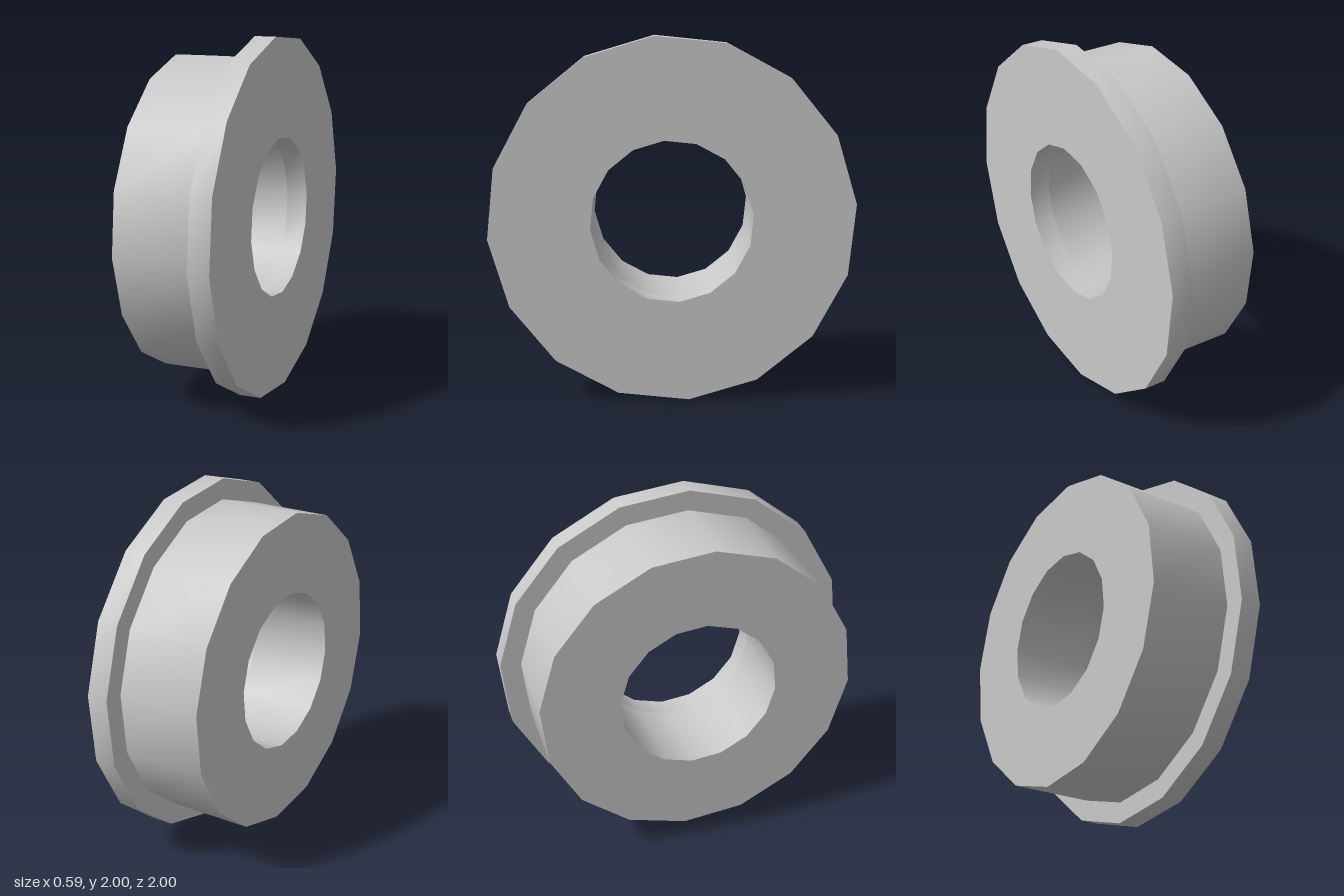
import * as THREE from 'three';
import { toCreasedNormals } from 'three/addons/utils/BufferGeometryUtils.js';

const SIDES = 16;
const START = THREE.MathUtils.degToRad(5.4); // turn of the polygon about the axle

const HOLE = 0.445, BARREL = 0.888, FLANGE = 1.004; // radii
const INNER = -0.295, STEP = 0.175, OUTER = 0.295; // positions along x

// Turns a [radius, x] profile about the x axis, with sharp rims and smooth sides
function ring(name, profile, material) {
  const points = profile.map(([r, x]) => new THREE.Vector2(r, x));
  const lathe = new THREE.LatheGeometry(points, SIDES, START, Math.PI * 2);
  lathe.rotateZ(-Math.PI / 2);
  lathe.translate(0, 1, 0);
  const mesh = new THREE.Mesh(toCreasedNormals(lathe, 0.7), material);
  mesh.name = name;
  return mesh;
}

export function createModel() {
  const group = new THREE.Group();
  group.name = 'flangedWheel';
  const grey = new THREE.MeshStandardMaterial({ color: 0xc8c8c8 });
  grey.name = 'light grey';

  // Wide tread with the axle hole through it
  group.add(ring('tread', [
    [HOLE, STEP], [HOLE, INNER], [BARREL, INNER], [BARREL, STEP],
  ], grey));

  // Thin, larger rim on the left side
  group.add(ring('flange', [
    [BARREL, STEP], [FLANGE, STEP], [FLANGE, OUTER], [HOLE, OUTER], [HOLE, STEP],
  ], grey));

  return group;
}
